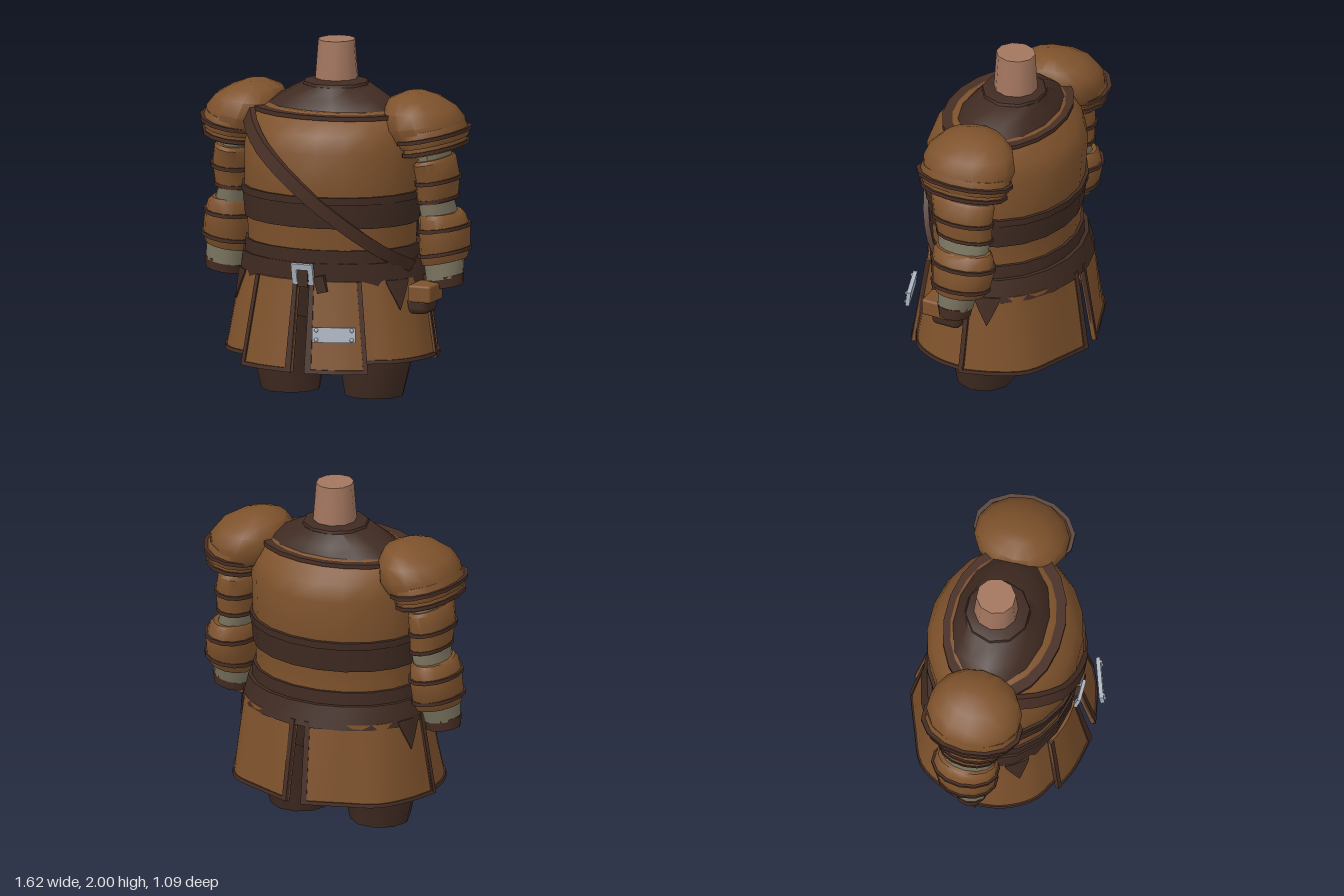
import * as THREE from 'three';
import { toCreasedNormals } from 'three/addons/utils/BufferGeometryUtils.js';
import { RoundedBoxGeometry } from 'three/addons/geometries/RoundedBoxGeometry.js';

const V = (x, y, z) => new THREE.Vector3(x, y, z);

// Closed skin through rings of points, capped at both ends and facing outward
function skin(rings) {
  const n = rings[0].length, tris = [];
  const mid = r => r.reduce((a, p) => a.add(p), V(0, 0, 0)).divideScalar(n);
  for (let i = 0; i < rings.length - 1; i++) {
    for (let j = 0; j < n; j++) {
      const k = (j + 1) % n, a = rings[i], b = rings[i + 1];
      tris.push([a[j], b[j], b[k]], [a[j], b[k], a[k]]);
    }
  }
  const first = rings[0], last = rings[rings.length - 1];
  const c0 = mid(first), c1 = mid(last);
  for (let j = 0; j < n; j++) {
    const k = (j + 1) % n;
    tris.push([c0, first[j], first[k]], [c1, last[k], last[j]]);
  }
  const volume = tris.reduce((s, [a, b, c]) => s + a.dot(V(0, 0, 0).crossVectors(b, c)), 0);
  const pos = [];
  for (const [a, b, c] of tris) {
    for (const p of volume > 0 ? [a, b, c] : [a, c, b]) pos.push(p.x, p.y, p.z);
  }
  const g = new THREE.BufferGeometry();
  g.setAttribute('position', new THREE.Float32BufferAttribute(pos, 3));
  return toCreasedNormals(g, 0.78);
}

// Loft of ellipses [y, cx, cz, rx, rz, tilt]; tilt raises the outer side
function loft(rows, sides = 12) {
  return skin(rows.map(([y, cx, cz, rx, rz, tilt = 0]) =>
    Array.from({ length: sides }, (_, j) => {
      const a = (j + 0.5) / sides * Math.PI * 2, x = Math.sin(a) * rx;
      return V(cx + x, y + x * tilt, cz + Math.cos(a) * rz);
    })));
}

// Thin raised band around an ellipse
function band([y, cx, cz, rx, rz, t = 0], h, out, sides) {
  return loft([[y - h / 2, cx, cz, rx + out, rz + out, t], [y + h / 2, cx, cz, rx + out, rz + out, t]], sides);
}

function mirrored(g) {
  const m = g.clone().scale(-1, 1, 1);
  for (const key of ['position', 'normal']) {
    const at = m.attributes[key];
    for (let i = 0; i < at.count; i += 3) {
      const b = [at.getX(i + 1), at.getY(i + 1), at.getZ(i + 1)];
      at.setXYZ(i + 1, at.getX(i + 2), at.getY(i + 2), at.getZ(i + 2));
      at.setXYZ(i + 2, ...b);
    }
  }
  return m;
}

export function createModel() {
  const model = new THREE.Group();
  const mat = (name, color) => Object.assign(new THREE.MeshStandardMaterial({ color }), { name });
  const leather = mat('leather', 0x7e522c), dark = mat('dark leather', 0x402b22);
  const trim = mat('trim', 0x472e24), skinTone = mat('skin', 0xa3765f);
  const cloth = mat('sleeve cloth', 0x7a745f), metal = mat('metal', 0xaeb6c2);
  const add = (name, g, m) => {
    const mesh = new THREE.Mesh(g, m);
    mesh.name = name;
    model.add(mesh);
    return mesh;
  };
  const pair = (name, g, m) => {
    add(name + 'Left', g, m);
    add(name + 'Right', mirrored(g), m);
  };

  // Neck, collar and yoke
  add('neck', loft([[1.7, 0, -0.06, 0.13, 0.13], [2, 0, -0.06, 0.105, 0.112]], 10), skinTone);
  add('yoke', loft([[1.58, 0, -0.03, 0.44, 0.28], [1.635, 0, -0.03, 0.4, 0.265],
    [1.685, 0, -0.035, 0.32, 0.225], [1.75, 0, -0.05, 0.2, 0.185]], 14), dark);
  add('collar', loft([[1.73, 0, -0.05, 0.2, 0.19], [1.765, 0, -0.05, 0.185, 0.18], [1.78, 0, -0.055, 0.13, 0.13]], 10), dark);

  // Torso
  const body = [[0.66, 0, -0.02, 0.5, 0.39], [0.9, 0, 0, 0.49, 0.4], [1.0, 0, 0, 0.495, 0.405],
    [1.2, 0, 0.002, 0.51, 0.43], [1.42, 0, -0.007, 0.51, 0.437], [1.52, 0, -0.012, 0.49, 0.402],
    [1.6, 0, -0.012, 0.46, 0.325], [1.635, 0, -0.02, 0.39, 0.28]];
  add('torso', loft(body, 20), leather);
  add('chestTrim', band([1.613, 0, -0.01, 0.46, 0.325], 0.025, 0.014, 20), trim);
  add('waistBand', loft([[1.0, 0, 0, 0.508, 0.415], [1.15, 0, 0, 0.52, 0.435]], 20), dark);
  add('waistBandEdge', loft([[1.14, 0, 0, 0.525, 0.443], [1.182, 0, 0, 0.525, 0.446]], 20), dark);
  add('beltUpper', loft([[0.78, 0, -0.01, 0.515, 0.41], [0.875, 0, -0.005, 0.508, 0.412]], 20), dark);
  add('beltLower', loft([[0.67, 0, -0.04, 0.555, 0.438], [0.8, 0, -0.018, 0.53, 0.425]], 20), dark);

  // Shoulder strap following the chest
  const strap = [];
  for (let i = 0; i <= 16; i++) {
    const t = i / 16, x = -0.45 + 0.98 * t, y = 1.585 - 0.815 * t;
    let k = 0;
    while (k < body.length - 2 && body[k + 1][0] < y) k++;
    const f = (y - body[k][0]) / (body[k + 1][0] - body[k][0]);
    const rx = THREE.MathUtils.lerp(body[k][3], body[k + 1][3], f) + 0.04;
    const rz = THREE.MathUtils.lerp(body[k][4], body[k + 1][4], f) + 0.022;
    const z = rz * Math.sqrt(Math.max(0.06, 1 - (x / rx) ** 2));
    const n = V(x / rx ** 2, 0, z / rz ** 2).normalize(), w = V(0.021, 0.032, 0), p = V(x, y, z);
    strap.push([[1, 0.006], [-1, 0.006], [-1, -0.025], [1, -0.025]].map(([a, o]) =>
      p.clone().addScaledVector(w, a).addScaledVector(n, o)));
  }
  add('chestStrap', skin(strap), trim);

  // Shoulder guards
  const z0 = -0.048;
  pair('shoulderDome', loft([[1.49, 0.57, z0, 0.195, 0.255, 0.2], [1.56, 0.54, z0, 0.22, 0.272, 0.17],
    [1.64, 0.51, z0, 0.2, 0.245, 0.08], [1.7, 0.485, z0, 0.145, 0.175, 0.02], [1.735, 0.485, z0, 0.06, 0.08]], 14), leather);
  pair('shoulderPlate', loft([[1.455, 0.6, z0, 0.175, 0.265, 0.2], [1.485, 0.595, z0, 0.19, 0.275, 0.2],
    [1.54, 0.575, z0, 0.185, 0.26, 0.2]], 14), leather);
  pair('shoulderTrim', band([1.497, 0.597, z0, 0.183, 0.275, 0.2], 0.022, 0.016, 14), trim);
  pair('lowerShoulderPlate', loft([[1.408, 0.607, z0, 0.168, 0.253, 0.2], [1.47, 0.6, z0, 0.165, 0.25, 0.2]], 14), leather);
  pair('lowerShoulderTrim', band([1.425, 0.607, z0, 0.165, 0.25, 0.2], 0.022, 0.014, 14), trim);

  // Arms
  pair('sleeve', loft([[0.69, 0.672, -0.03, 0.105, 0.1, 0.18], [0.8, 0.662, -0.045, 0.115, 0.115, 0.16],
    [0.98, 0.645, -0.06, 0.1, 0.15, 0.1], [1.1, 0.615, -0.055, 0.09, 0.155, 0.1], [1.46, 0.6, -0.05, 0.075, 0.16, 0.1]], 14), cloth);
  pair('cuff', loft([[0.64, 0.681, -0.03, 0.1, 0.088, 0.18], [0.705, 0.676, -0.03, 0.108, 0.1, 0.18]], 10), trim);
  pair('upperArmGuard', loft([[1.12, 0.617, -0.06, 0.103, 0.165, 0.12], [1.25, 0.622, -0.05, 0.112, 0.18, 0.14],
    [1.35, 0.607, -0.042, 0.106, 0.196, 0.18], [1.37, 0.607, -0.042, 0.09, 0.18, 0.18]], 14), leather);
  pair('upperArmTrim', band([1.242, 0.622, -0.05, 0.112, 0.18, 0.14], 0.022, 0.01, 14), trim);
  pair('upperArmHem', band([1.135, 0.617, -0.06, 0.103, 0.165, 0.12], 0.02, 0.008, 14), trim);
  pair('forearmGuard', loft([[0.78, 0.662, -0.055, 0.125, 0.14, 0.2], [0.84, 0.66, -0.06, 0.138, 0.17, 0.18],
    [0.95, 0.654, -0.07, 0.136, 0.188, 0.12], [1.035, 0.643, -0.065, 0.124, 0.18, 0.05],
    [1.06, 0.64, -0.065, 0.1, 0.165, 0.05]], 14), leather);
  pair('forearmTrim', band([0.972, 0.652, -0.07, 0.134, 0.186, 0.12], 0.022, 0.01, 14), trim);
  pair('forearmHem', band([0.835, 0.661, -0.058, 0.136, 0.165, 0.18], 0.022, 0.012, 14), trim);

  // Legs and hips
  pair('leg', loft([[0, 0.255, 0, 0.17, 0.165], [0.25, 0.265, -0.005, 0.22, 0.22], [0.5, 0.25, -0.02, 0.235, 0.27]], 10), dark);
  add('hips', loft([[0.46, 0, -0.02, 0.44, 0.27], [0.7, 0, -0.02, 0.47, 0.36]], 14), dark);

  // Skirt panels: a curved sheet between a waist line and a hem line of [x, z]
  function panel(name, waist, hem, yTop, yHem, edges, point) {
    const curve = (pts, y) => new THREE.CatmullRomCurve3(pts.map(([x, z]) => V(x, y, z)));
    const top = curve(waist, yTop), low = curve(hem, yHem);
    const piece = (u0, u1, v0, v1, inner, outer, steps = 8) => {
      const rings = [];
      for (let i = 0; i <= steps; i++) {
        const u = u0 + (u1 - u0) * i / steps, end = typeof v1 === 'function' ? v1(i / steps) : v1;
        const a = top.getPoint(u), b = low.getPoint(u), t = low.getTangent(u);
        const n = V(t.z, 0, -t.x);
        if (n.dot(b) < 0) n.negate();
        rings.push([[v0, outer], [end, outer], [end, inner], [v0, inner]].map(([v, o]) =>
          a.clone().lerp(b, v).addScaledVector(n, o)));
      }
      return skin(rings);
    };
    pair(name, piece(0, 1, 0, 1, -0.018, 0, 16), leather);
    pair(name + 'Hem', piece(0, 1, 0.96, 1.005, -0.022, 0.008, 16), trim);
    for (const [u0, u1] of edges) pair(name + 'Edge', piece(u0, u1, 0, 1, -0.022, 0.008, 2), trim);
    // Pointed tab hanging from the belt
    if (point) pair(name + 'Tab', piece(...point, 0, u => 0.03 + 0.34 * (1 - Math.abs(2 * u - 1)), 0, 0.009), dark);
  }
  panel('frontPanel', [[0.035, 0.41], [0.18, 0.39], [0.32, 0.335]], [[0.04, 0.5], [0.25, 0.455], [0.385, 0.395]],
    0.7, 0.19, [[0, 0.09], [0.91, 1]]);
  panel('sidePanel', [[0.3, 0.325], [0.43, 0.23], [0.52, 0.09], [0.54, -0.06]],
    [[0.36, 0.375], [0.5, 0.29], [0.59, 0.13], [0.615, -0.05]], 0.7, 0.245, [[0.95, 1]], [0.32, 0.6]);
  panel('backPanel', [[0.545, -0.03], [0.51, -0.18], [0.42, -0.315], [0.25, -0.42], [0.03, -0.465]],
    [[0.62, -0.02], [0.56, -0.21], [0.455, -0.375], [0.26, -0.46], [0.045, -0.54]], 0.7, 0.23, [[0, 0.04], [0.965, 1]], [0.08, 0.32]);

  // Buckle and belt tail
  const corners = pts => pts.map(p => new THREE.Vector2(...p));
  const frame = new THREE.Shape(corners([[-0.065, -0.06], [0.065, -0.06], [0.065, 0.06], [-0.065, 0.06]]));
  frame.holes.push(new THREE.Path(corners([[-0.035, -0.045], [-0.035, 0.025], [0.035, 0.025], [0.035, -0.045]])));
  const buckle = add('buckle', new THREE.ExtrudeGeometry(frame, { depth: 0.02, bevelEnabled: false }), metal);
  buckle.position.set(0, 0.742, 0.415);
  buckle.rotation.x = 0.2;
  const loop = add('beltLoop', new THREE.BoxGeometry(0.06, 0.1, 0.03), dark);
  loop.position.set(0, 0.715, 0.412);
  const tail = add('beltTail', new THREE.BoxGeometry(0.06, 0.095, 0.03), dark);
  tail.position.set(0.105, 0.685, 0.41);
  tail.rotation.z = 0.25;

  // Riveted metal patch
  const patch = new THREE.Group();
  patch.name = 'metalPatch';
  const plate = new THREE.Mesh(new THREE.BoxGeometry(0.245, 0.085, 0.024), metal);
  plate.name = 'patchPlate';
  patch.add(plate);
  for (const x of [-0.1, 0.1]) for (const y of [-0.027, 0.027]) {
    const rivet = new THREE.Mesh(new THREE.SphereGeometry(0.012, 8, 6), metal);
    rivet.name = 'rivet';
    rivet.position.set(x, y, 0.011);
    patch.add(rivet);
  }
  patch.position.set(0.218, 0.417, 0.488);
  patch.rotation.set(-0.1, 0.33, 0, 'YXZ');
  model.add(patch);

  // Side pouch
  const pouch = add('pouch', new RoundedBoxGeometry(0.14, 0.1, 0.19, 2, 0.015), leather);
  pouch.position.set(0.605, 0.625, 0.092);
  const base = add('pouchBase', new RoundedBoxGeometry(0.135, 0.1, 0.18, 2, 0.035), dark);
  base.position.set(0.567, 0.55, 0.06);
  return model;
}
